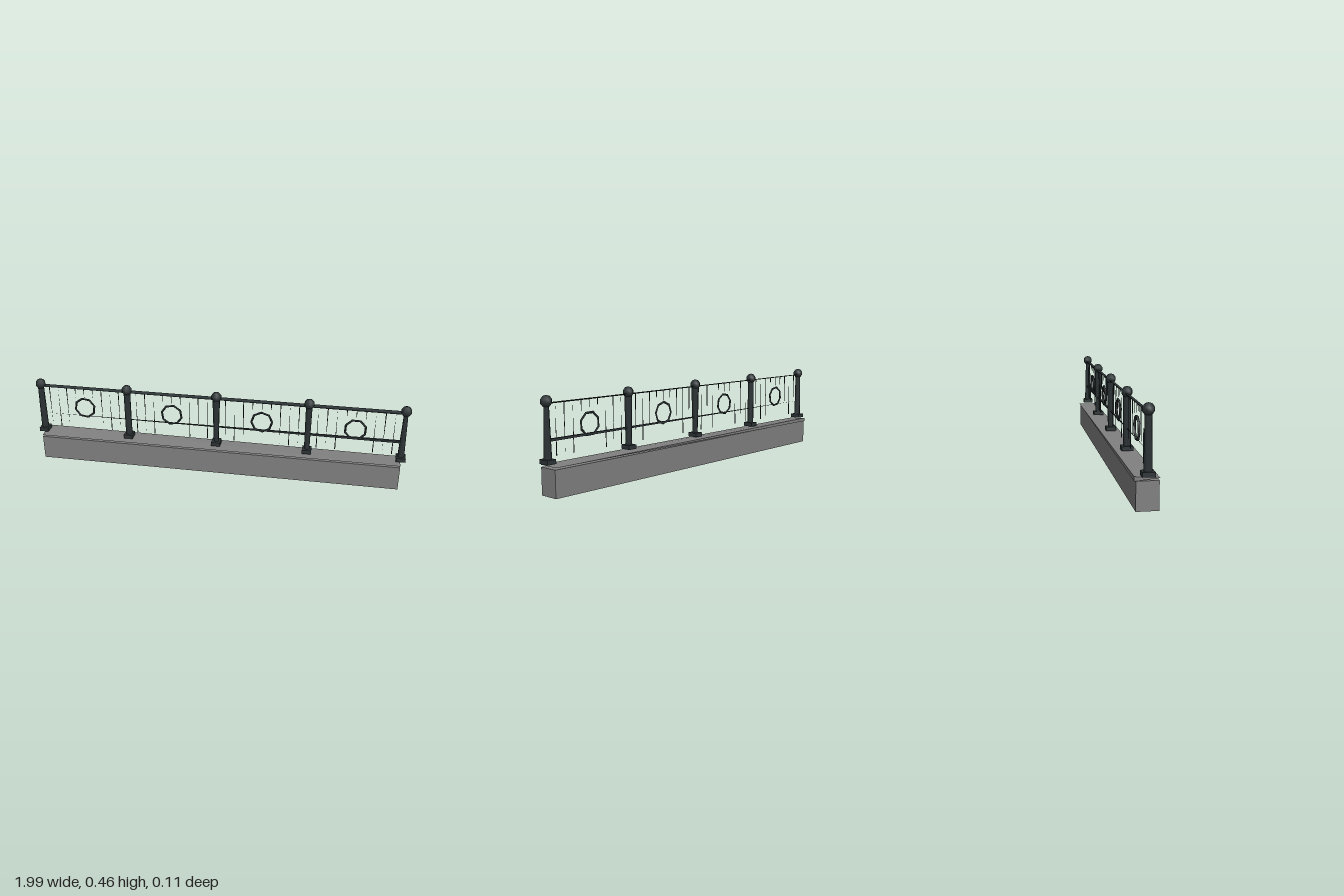
import * as THREE from 'three';
import { ConvexGeometry } from 'three/addons/geometries/ConvexGeometry.js';

export function createModel() {
  const model = new THREE.Group();
  model.name = 'railing';
  const stone = new THREE.MeshStandardMaterial({ color: 0x808080 });
  stone.name = 'stone grey';
  const iron = new THREE.MeshStandardMaterial({ color: 0x2d3436 });
  iron.name = 'dark iron';

  const add = (name, geometry, material, x = 0, y = 0, z = 0, parent = model) => {
    const mesh = new THREE.Mesh(geometry, material);
    mesh.name = name;
    mesh.position.set(x, y, z);
    parent.add(mesh);
    return mesh;
  };
  // faceted solid around a few corner points
  const hull = (points) => new ConvexGeometry(points.map((p) => new THREE.Vector3(...p)));

  const END = 0.97, BAY = 0.485;

  // plinth and its tapering coping
  add('plinth', new THREE.BoxGeometry(2 * END, 0.13, 0.1), stone, 0, 0.065);
  add('coping', hull([
    [-END, 0.15, -0.057], [-END, 0.13, -0.057], [END, 0.14, -0.057],
    [-END, 0.14, 0.053], [END, 0.14, 0.053],
  ]), stone);

  // top rail: thin tilted plate, slightly thicker at its left end
  add('topRail', hull([
    [-END, 0.423, -0.011], [-END, 0.416, 0.011], [-END, 0.418, -0.009],
    [END, 0.424, -0.011], [END, 0.418, 0.011], [END, 0.414, 0.011], [END, 0.42, -0.011],
  ]), iron);

  // middle rail: tapers to a point
  add('middleRail', hull([
    [-END, 0.255, 0],
    [END, 0.261, -0.007], [END, 0.261, 0.007], [END, 0.249, -0.007], [END, 0.249, 0.007],
  ]), iron);

  // posts, each with a foot and a ball finial; [top radius, bottom radius]
  const shafts = [[0.016, 0.019], [0.018, 0.018], [0.021, 0.014], [0.019, 0.016], [0.012, 0.019]];
  shafts.forEach(([top, bottom], i) => {
    const post = new THREE.Group();
    post.name = 'post';
    post.position.x = -END + i * BAY;
    model.add(post);
    add('foot', new THREE.BoxGeometry(0.048, 0.021, 0.056), iron, 0, 0.161, 0, post);
    add('shaft', new THREE.CylinderGeometry(top, bottom, 0.245, 6), iron, 0, 0.292, 0, post);
    add('finial', new THREE.SphereGeometry(0.028, 8, 5), iron, 0, 0.428, 0, post).rotation.y = i * 0.9;
  });

  // infill of every bay: slender pointed bars around a ring
  for (let bay = 0; bay < 4; bay++) {
    const left = -END + bay * BAY;
    const ring = add('ring', new THREE.TorusGeometry(0.055, 0.006, 4, 8), iron, left + BAY / 2, 0.303);
    ring.rotation.z = 0.25 + bay * 0.3;
    for (let k = 1; k <= 9; k++) {
      const short = k >= 4 && k <= 6;
      const low = short ? 0.36 : 0.18, high = 0.416;
      const bar = add('baluster', new THREE.ConeGeometry(0.003, high - low, 3),
        iron, left + (k * BAY) / 10, (low + high) / 2);
      if (short || (k + bay) % 2) bar.rotation.x = Math.PI;
    }
  }
  return model;
}
